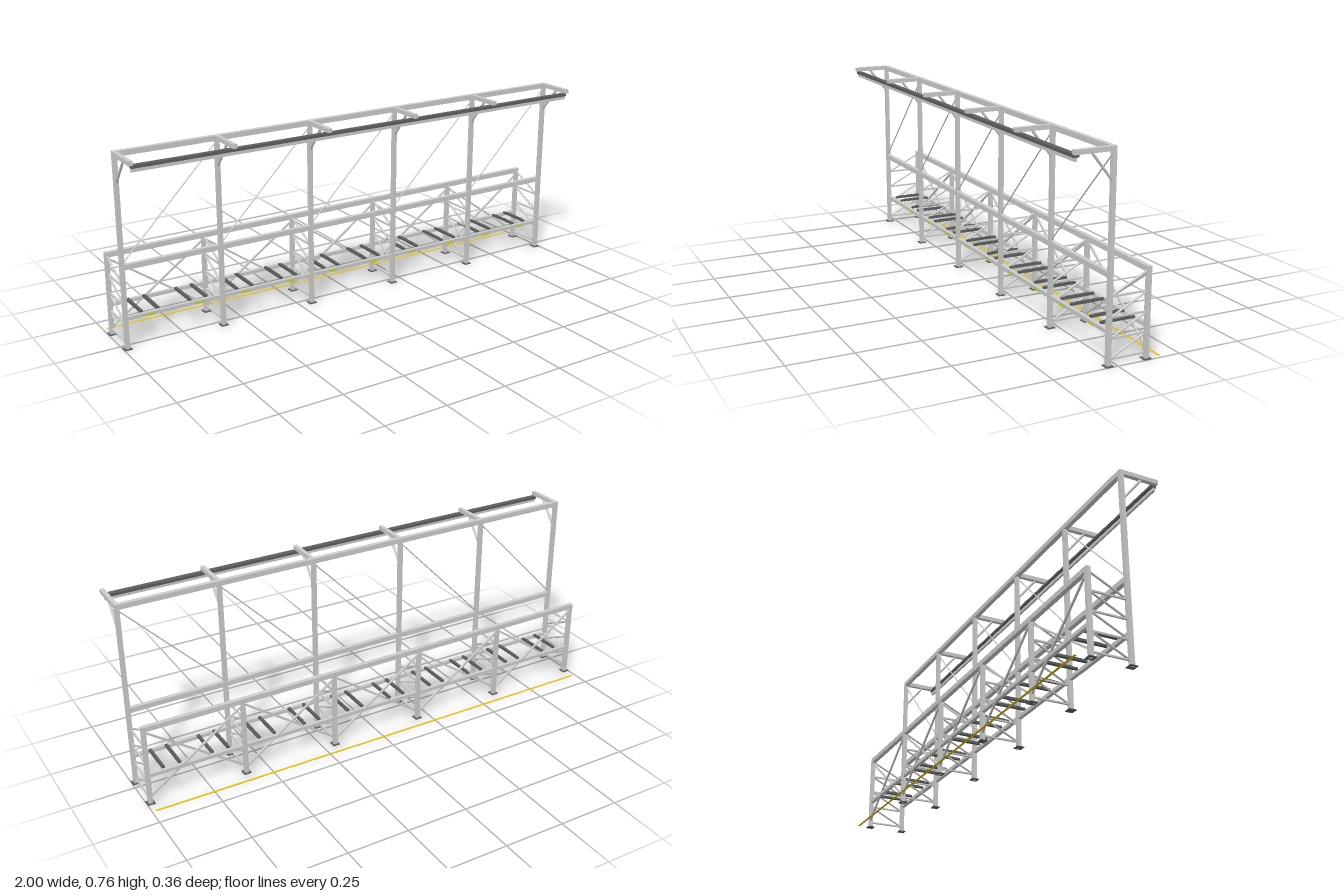
import * as THREE from 'three';

export function createModel() {
  const model = new THREE.Group();
  model.name = 'steelGantryFrame';

  const material = (name, color) => {
    const m = new THREE.MeshStandardMaterial({ color });
    m.name = name;
    return m;
  };
  const steel = material('galvanisedSteel', 0xcccecb);
  const dark = material('darkSteel', 0x5c5e60);
  const lime = material('limeMarker', 0xcdd41f);
  const gold = material('yellowLine', 0xe2c012);

  const add = (name, mat, geometry, parent) => {
    const mesh = new THREE.Mesh(geometry, mat);
    mesh.name = name;
    parent.add(mesh);
    return mesh;
  };
  const box = (name, mat, w, h, d, x, y, z, parent = model) =>
    add(name, mat, new THREE.BoxGeometry(w, h, d), parent).position.set(x, y, z);

  // Straight bar between two points, square or round
  const bar = (name, a, b, size, round, parent = model) => {
    const from = new THREE.Vector3(...a), to = new THREE.Vector3(...b);
    const span = from.distanceTo(to);
    const geometry = round
      ? new THREE.CylinderGeometry(size / 2, size / 2, span, 8).rotateX(Math.PI / 2)
      : new THREE.BoxGeometry(size, size, span);
    const mesh = add(name, steel, geometry, parent);
    mesh.position.copy(from).add(to).multiplyScalar(0.5);
    mesh.lookAt(to);
  };

  const bays = 5, pitch = 0.394, x0 = -0.985, length = 1.97;
  const front = 0.031, rear = -0.121, middle = -0.045, col = 0.016;
  const inFront = front - col / 2, inRear = rear + col / 2;

  // Transverse frames: columns, feet, ladder bracing, cantilever arm
  for (let i = 0; i <= bays; i++) {
    const x = x0 + i * pitch;
    const frame = new THREE.Group();
    frame.name = 'transverseFrame';
    model.add(frame);
    for (const [z, top] of [[front, 0.757], [rear, 0.333]]) {
      box('column', steel, col, top, col, x, top / 2, z, frame);
      box('basePlate', dark, 0.03, 0.003, 0.03, x, 0.0015, z, frame);
    }
    for (const y of [0.024, 0.098, 0.172, 0.246]) {
      box('frameRung', steel, 0.007, 0.006, inFront - inRear, x, y, middle, frame);
      bar('frameDiagonal', [x, y + 0.002, inFront], [x, y + 0.07, inRear], 0.008, true, frame);
    }
    box('cantileverArm', steel, col, 0.017, 0.158, x, 0.7495, 0.102, frame);
    bar('kneeBrace', [x, 0.645, 0.036], [x, 0.742, 0.113], 0.01, true, frame);
  }

  // Longitudinal beams
  for (const z of [front, rear]) {
    box('guardBeam', steel, length, 0.02, 0.018, 0, 0.323, z);
    box('deckBeam', steel, length, 0.014, 0.014, 0, 0.122, z);
  }
  box('topBeam', steel, length, 0.02, 0.018, 0, 0.748, front);

  // Overhead track under the arms
  box('overheadTrack', dark, 1.964, 0.011, 0.021, 0, 0.7355, 0.168);
  box('trackRail', steel, 1.964, 0.014, 0.008, 0, 0.723, 0.169);

  // Bay bracing, deck bearers and markers
  for (let i = 0; i < bays; i++) {
    const a = x0 + i * pitch, b = a + pitch;
    bar('upperTieRod', [a + 0.006, 0.34, front], [b - 0.006, 0.73, front], 0.005, true);
    bar('rearBrace', [a, 0.03, rear + 0.004], [b, 0.308, rear + 0.004], 0.007, false);
    bar('rearBrace', [a, 0.308, rear - 0.004], [b, 0.03, rear - 0.004], 0.007, false);
    for (const n of [1, 2, 4, 5]) {
      const x = a + n * pitch / 6;
      box('deckBearer', dark, 0.012, 0.008, inFront - inRear, x, 0.132, middle);
      box('bearerPad', dark, 0.01, 0.002, 0.096, x, 0.137, middle);
    }
    for (const q of [0.25, 0.75]) {
      box('beamMarker', lime, 0.036, 0.008, 0.001, a + q * pitch, 0.119, front + 0.0073);
    }
  }

  // Painted floor line behind the frame
  box('floorLine', gold, length, 0.0005, 0.01, 0, 0.00025, -0.177);

  return model;
}
